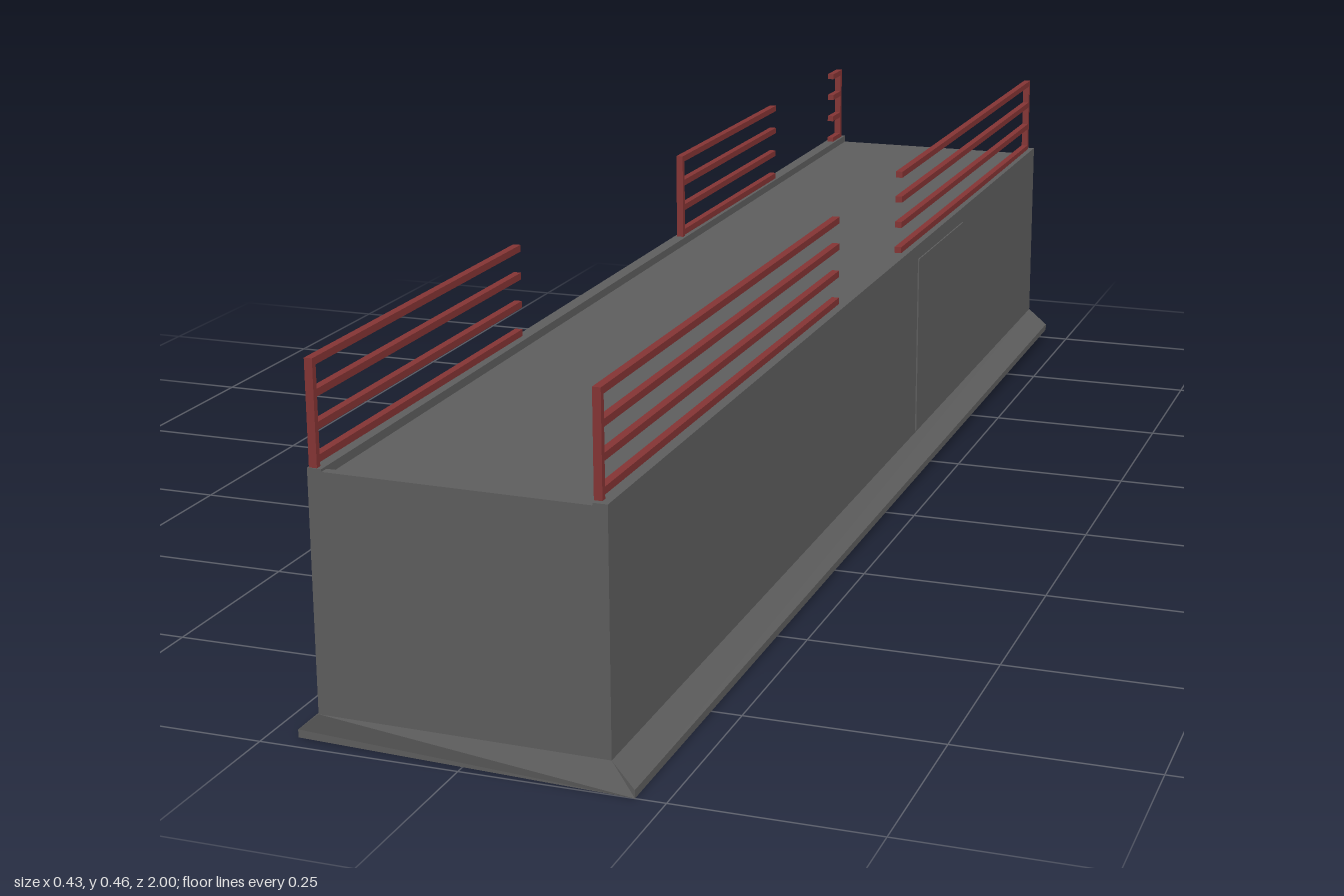
import * as THREE from 'three';

const grey = new THREE.MeshStandardMaterial({ color: 0x5d5d5d, flatShading: true });
const red = new THREE.MeshStandardMaterial({ color: 0x843434, flatShading: true });

// The block climbs slightly towards the back, its foot a little more than its top
const rise = (y, z) => (0.014 - 0.018 * y) * (1 - z) / 2;
// The front end is slightly askew, most of all at the tips of the foot
const frontZ = x => (Math.abs(x) > 0.2 ? 0.988 + 0.012 * Math.sign(x) : 0.986 + 0.02 * x);

function mesh(name, geometry, material) {
  const m = new THREE.Mesh(geometry, material);
  m.name = name;
  return m;
}

function box(name, material, w, h, d, x, y, z) {
  const m = mesh(name, new THREE.BoxGeometry(w, h, d), material);
  m.position.set(x, y, z);
  return m;
}

// Extruded cross-section: flared foot, upright walls, raised kerbs and sunken deck
function blockGeometry() {
  const half = [[0.213, 0], [0.213, 0.01], [0.182, 0.036], [0.182, 0.333], [0.164, 0.333], [0.164, 0.322]];
  const outline = [...half, ...half.map(([x, y]) => [-x, y]).reverse()];
  const shape = new THREE.Shape(outline.map(([x, y]) => new THREE.Vector2(x, y)));
  const geo = new THREE.ExtrudeGeometry(shape, { depth: 2, bevelEnabled: false });
  geo.translate(0, 0, -1);
  const p = geo.attributes.position;
  for (let i = 0; i < p.count; i++) {
    const x = p.getX(i);
    const y = p.getY(i);
    const z = p.getZ(i) > 0 ? frontZ(x) : -1;
    p.setXYZ(i, x, y + rise(y, z), z);
  }
  geo.computeVertexNormals();
  return geo;
}

// Four bars between two z positions, with a post at one end
function railing(name, x, z0, z1, postZ) {
  const g = new THREE.Group();
  g.name = name;
  for (const y of [0.344, 0.382, 0.42, 0.457]) {
    g.add(box('railBar', red, 0.01, 0.009, z0 - z1, x, y, (z0 + z1) / 2));
  }
  g.add(box('railPost', red, 0.01, 0.127, 0.008, x, 0.398, postZ));
  return g;
}

export function createModel() {
  const model = new THREE.Group();
  model.name = 'platform';

  model.add(mesh('platformBlock', blockGeometry(), grey));

  // Low kerb closing the deck at the front
  const kerb = box('frontKerb', grey, 0.328, 0.012, 0.012, 0, 0.324, 0.98);
  kerb.rotation.y = -Math.atan(0.02);
  model.add(kerb);

  // Thin door panel on the +x wall
  model.add(box('doorPanel', grey, 0.004, 0.268, 0.26, 0.182, 0.182, -0.375));

  // Railings on both edges, with gaps for access
  model.add(railing('leftFrontRailing', 0.169, 0.985, 0.13, 0.981));
  model.add(railing('leftBackRailing', 0.169, -0.18, -0.99, -0.986));
  model.add(railing('rightFrontRailing', -0.173, 0.985, 0.42, 0.981));
  model.add(railing('rightMiddleRailing', -0.173, -0.18, -0.62, -0.184));
  model.add(railing('rightBackRailing', -0.173, -0.94, -0.99, -0.986));
  return model;
}
